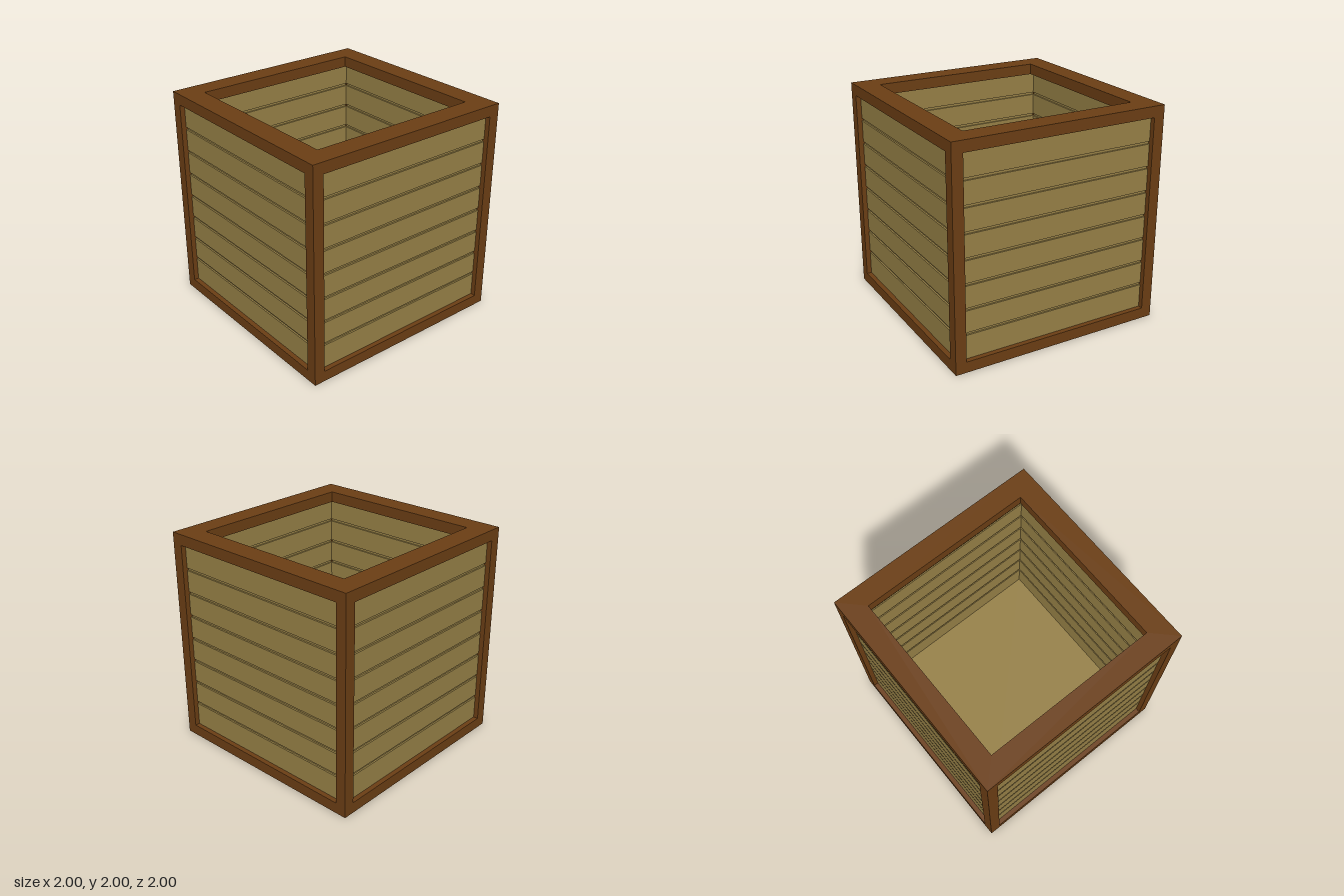
import * as THREE from 'three';

const frameMat = new THREE.MeshStandardMaterial({ color: 0x6b3e14 });
const plankMat = new THREE.MeshStandardMaterial({ color: 0x968046 });

function box(parent, name, mat, w, h, d, x, y, z) {
  const mesh = new THREE.Mesh(new THREE.BoxGeometry(w, h, d), mat);
  mesh.name = name;
  mesh.position.set(x, y, z);
  parent.add(mesh);
  return mesh;
}

// Square ring lying flat, from height y0 up, with a square opening
function squareRing(parent, name, half, inner, y0, height) {
  const shape = new THREE.Shape();
  shape.moveTo(-half, -half).lineTo(half, -half).lineTo(half, half).lineTo(-half, half).closePath();
  const hole = new THREE.Path();
  hole.moveTo(-inner, -inner).lineTo(-inner, inner).lineTo(inner, inner).lineTo(inner, -inner).closePath();
  shape.holes.push(hole);
  const geo = new THREE.ExtrudeGeometry(shape, { depth: height, bevelEnabled: false });
  geo.rotateX(-Math.PI / 2);
  const mesh = new THREE.Mesh(geo, frameMat);
  mesh.name = name;
  mesh.position.y = y0;
  parent.add(mesh);
}

// One planked wall facing +z: boards with narrow grooves over a thin core
function plankWall() {
  const wall = new THREE.Group();
  const count = 8, pitch = 0.223, gap = 0.0235, bottom = 0.1, top = 1.9;
  for (let i = 0; i < count; i++) {
    const lo = i === 0 ? bottom : 1 + (i - count / 2) * pitch + gap / 2;
    const hi = i === count - 1 ? top : 1 + (i + 1 - count / 2) * pitch - gap / 2;
    box(wall, 'plank', plankMat, 1.8, hi - lo, 0.06, 0, (lo + hi) / 2, 0.925);
  }
  box(wall, 'wallCore', plankMat, 1.8, top - bottom, 0.03, 0, 1, 0.925);
  return wall;
}

export function createModel() {
  const crate = new THREE.Group();
  crate.name = 'openCrate';

  // Frame: wide top rim, narrow base ring, four corner posts
  squareRing(crate, 'topRim', 1, 0.8, 1.9, 0.1);
  squareRing(crate, 'baseRing', 1, 0.9, 0, 0.1);
  for (const sx of [-1, 1]) {
    for (const sz of [-1, 1]) {
      box(crate, 'cornerPost', frameMat, 0.1, 1.8, 0.1, 0.95 * sx, 1, 0.95 * sz);
    }
  }

  // Walls on all four sides
  ['frontWall', 'leftWall', 'backWall', 'rightWall'].forEach((name, i) => {
    const wall = plankWall();
    wall.name = name;
    wall.rotation.y = i * Math.PI / 2;
    crate.add(wall);
  });

  // Floor, recessed inside the base ring
  box(crate, 'floor', plankMat, 1.8, 0.06, 1.8, 0, 0.07, 0);

  return crate;
}
